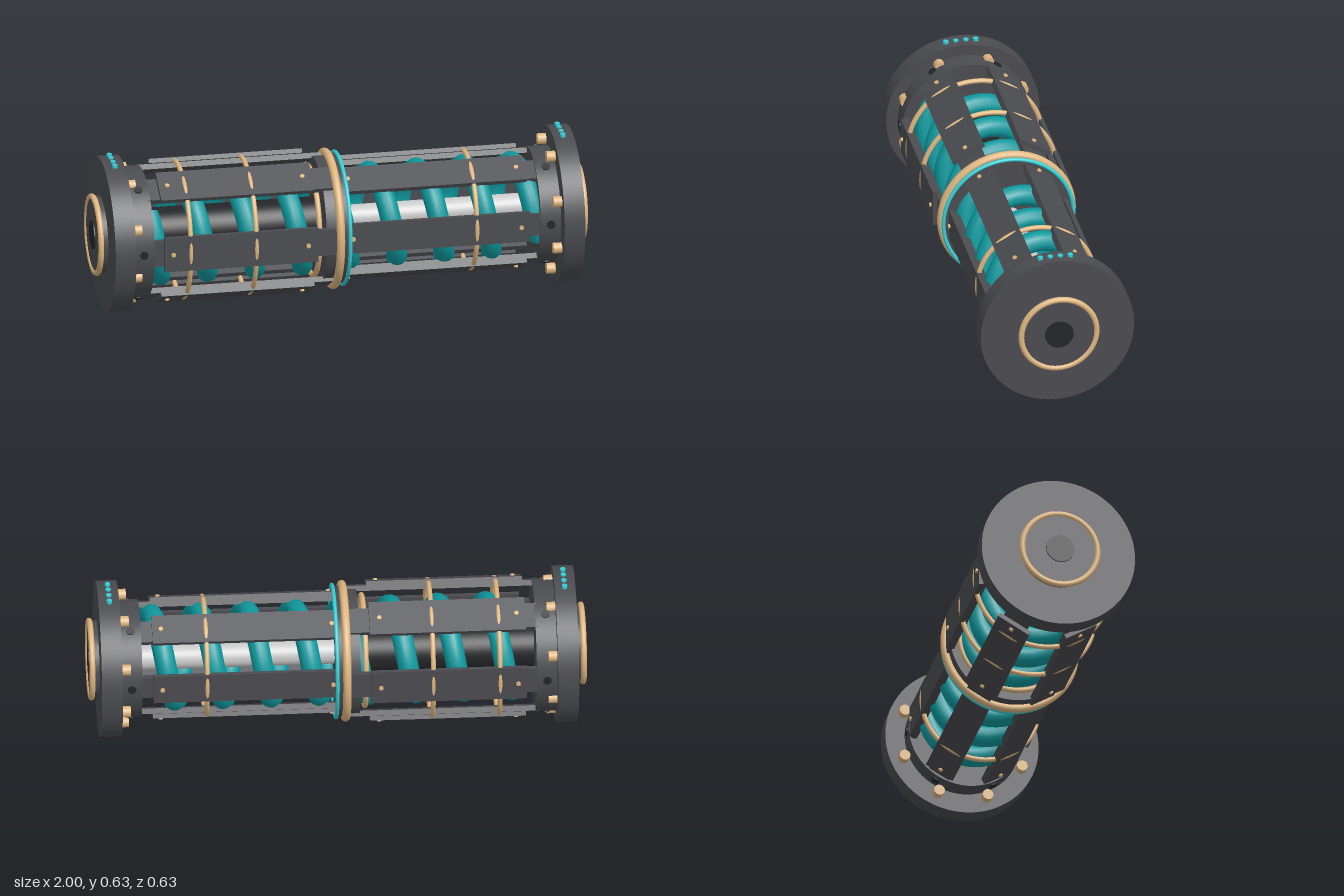
import * as THREE from 'three';

const AXIS_Y = 0.315;
const mat = (color) => new THREE.MeshStandardMaterial({ color });

export function createModel() {
  const dark = mat(0x4b4c50), black = mat(0x242528), tan = mat(0xdfb680);
  const teal = mat(0x0f9a9f), cyan = mat(0x35cfd6), grey = mat(0xcccccc);

  const model = new THREE.Group();
  model.name = 'springCylinder';
  const body = new THREE.Group();
  body.name = 'body';
  body.position.y = AXIS_Y;
  model.add(body);

  function add(name, geometry, material, parent = body) {
    const mesh = new THREE.Mesh(geometry, material);
    mesh.name = name;
    parent.add(mesh);
    return mesh;
  }
  // Cylinder lying along x between x0 and x1
  function barrel(name, r, x0, x1, material, segments = 64) {
    const g = new THREE.CylinderGeometry(r, r, Math.abs(x1 - x0), segments);
    g.rotateZ(Math.PI / 2).translate((x0 + x1) / 2, 0, 0);
    return add(name, g, material);
  }
  // Ring around the x axis
  function ring(name, r, tube, x, material) {
    const g = new THREE.TorusGeometry(r, tube, 12, 80);
    g.rotateY(Math.PI / 2).translate(x, 0, 0);
    return add(name, g, material);
  }
  // Repeats a part around the x axis, angle 0 facing +z
  function around(name, count, offset, build) {
    for (let i = 0; i < count; i++) {
      const holder = new THREE.Group();
      holder.name = name;
      holder.rotation.x = offset + (i * Math.PI * 2) / count;
      body.add(holder);
      build(holder);
    }
  }
  function box(name, x0, x1, width, z0, z1, material, parent) {
    const g = new THREE.BoxGeometry(x1 - x0, width, z1 - z0);
    g.translate((x0 + x1) / 2, 0, (z0 + z1) / 2);
    return add(name, g, material, parent);
  }
  // Short stud pointing outward along the holder's z
  function stud(name, r, x, z0, z1, material, parent) {
    const g = new THREE.CylinderGeometry(r, r, z1 - z0, 16);
    g.rotateX(Math.PI / 2).translate(x, 0, (z0 + z1) / 2);
    return add(name, g, material, parent);
  }

  // Ends: flange, raised cap, hub, collar, bolts and lights
  for (const [s, collarR] of [[-1, 0.267], [1, 0.235]]) {
    barrel('flange', 0.314, s * 0.873, s * 0.957, dark, 96);
    barrel('endCap', 0.155, s * 0.957, s * 0.991, dark);
    barrel('endHub', 0.058, s * 0.98, s * 0.996, black, 40);
    ring('endCapRing', 0.154, 0.012, s * 0.986, tan);
    barrel('endCollar', collarR, s * 0.79, s * 0.873, dark);
    around('flangeBolt', 8, Math.PI / 8, (h) => {
      const g = new THREE.CylinderGeometry(0.022, 0.022, 0.036, 20);
      g.rotateZ(Math.PI / 2).translate(s * 0.856, 0, 0.26);
      add('boltHead', g, tan, h);
    });
    around('collarHole', 6, 0, (h) =>
      stud('holePlug', 0.017, s * 0.832, collarR - 0.01, collarR + 0.004, black, h));
    for (const z of [-0.061, -0.0205, 0.0205, 0.061]) {
      const g = new THREE.CylinderGeometry(0.011, 0.011, 0.018, 16);
      g.translate(s * 0.913, 0.31, z);
      add('indicatorLight', g, cyan);
    }
  }

  // Inner rod and sleeve
  barrel('pistonRod', 0.05, -0.8, 0.8, grey, 40);
  barrel('innerSleeve', 0.093, -0.8, -0.02, black, 48);

  // Spring running the whole length
  const pitch = 0.193, springR = 0.179, x0 = -0.79, x1 = 0.79;
  class Helix extends THREE.Curve {
    getPoint(t, target = new THREE.Vector3()) {
      const x = x0 + (x1 - x0) * t;
      const a = ((x - 0.15) / pitch) * Math.PI * 2;
      return target.set(x, springR * Math.cos(a), springR * Math.sin(a));
    }
  }
  add('spring', new THREE.TubeGeometry(new Helix(), 400, 0.042, 14), teal);

  // Cage: six panels on longer rails for each half
  const halves = [
    { r: 0.28, width: 0.145, panel: [-0.75, -0.125], rail: [-0.8, -0.04], studs: [-0.715, -0.165] },
    { r: 0.243, width: 0.125, panel: [0.01, 0.745], rail: [-0.02, 0.8], studs: [0.025, 0.71] },
  ];
  for (const { r, width, panel, rail, studs } of halves) {
    around('cagePanel', 6, 0, (h) => {
      box('panel', ...panel, width, r - 0.018, r, dark, h);
      box('rail', ...rail, width * 0.75, r - 0.04, r - 0.018, dark, h);
      for (const x of studs) stud('panelStud', 0.009, x, r - 0.005, r + 0.007, tan, h);
    });
  }

  // Bands around the cage
  ring('cageBand', 0.274, 0.01, -0.643, tan);
  ring('cageBand', 0.274, 0.01, -0.375, tan);
  ring('cageBand', 0.238, 0.01, 0.53, tan);

  // Centre joint
  barrel('centreCollar', 0.255, -0.085, 0.005, dark);
  ring('innerTrimRing', 0.222, 0.011, -0.108, tan);
  ring('centreBand', 0.267, 0.017, -0.03, tan);
  barrel('centreLip', 0.262, -0.015, 0.008, dark);
  ring('glowRing', 0.266, 0.008, 0.009, cyan);

  return model;
}
